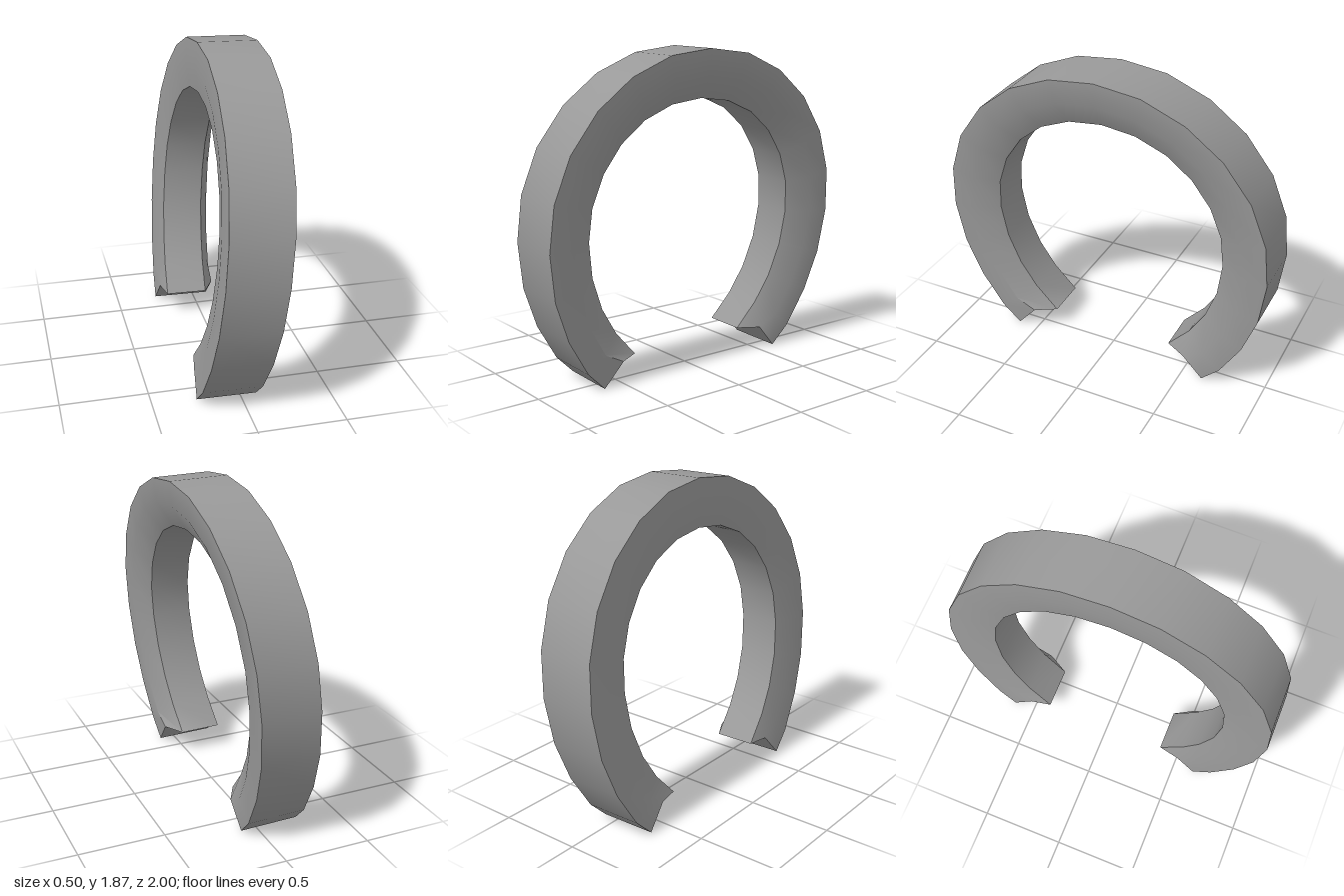
import * as THREE from 'three';
import { toCreasedNormals } from 'three/addons/utils/BufferGeometryUtils.js';

// Half outlines of the open ring as [z, y], from the crown down to the tip
const OUTER = [[0, 1.867], [0.27, 1.835], [0.52, 1.73], [0.73, 1.565], [0.89, 1.345], [0.98, 1.095],
  [1, 0.835], [0.96, 0.565], [0.87, 0.325], [0.74, 0.11], [0.63, 0.002]];
const INNER = [[0, 1.587], [0.2, 1.562], [0.38, 1.487], [0.528, 1.367], [0.637, 1.213], [0.702, 1.035],
  [0.717, 0.845], [0.688, 0.64], [0.618, 0.45], [0.52, 0.29], [0.385, 0.14]];
const LAST = OUTER.length - 1;

// Six-point cross-section at step s (+LAST = front tip, -LAST = back tip)
function section(s) {
  const k = Math.abs(s), side = Math.sign(s);
  const o = OUTER[k], i = INNER[k];
  // the middle ridges are pulled up at the tips, which notches them
  const m = k === LAST ? [0.51, 0.14] : [(o[0] + i[0]) / 2, (o[1] + i[1]) / 2];
  // the whole ring leans towards +x with height
  const point = ([z, y], x) => [x + 0.083 * y, y - 0.02 * x, z * side];
  return [point(o, -0.25), point(m, -0.25), point(i, -0.225),
    point(i, 0.022), point(m, 0.0925), point(o, 0.0925)];
}

function ringGeometry() {
  const positions = [], index = [], n = 6;
  for (let s = LAST; s >= -LAST; s--) positions.push(...section(s).flat());
  const steps = 2 * LAST;

  // Side walls
  for (let r = 0; r < steps; r++) {
    for (let j = 0; j < n; j++) {
      const a = r * n + j, b = r * n + (j + 1) % n;
      index.push(a, a + n, b + n, a, b + n, b);
    }
  }
  // Tip caps, folded along the line between the two notches
  const end = steps * n;
  for (const [a, b, c] of [[0, 1, 4], [0, 4, 5], [1, 2, 3], [1, 3, 4]]) {
    index.push(a, b, c);
    index.push(end + a, end + c, end + b);
  }

  const geometry = new THREE.BufferGeometry();
  geometry.setAttribute('position', new THREE.Float32BufferAttribute(positions, 3));
  geometry.setIndex(index);
  return toCreasedNormals(geometry, 0.8);
}

export function createModel() {
  const group = new THREE.Group();
  group.name = 'openRing';
  const band = new THREE.Mesh(ringGeometry(), new THREE.MeshStandardMaterial({ color: 0x999999 }));
  band.name = 'band';
  group.add(band);
  return group;
}
